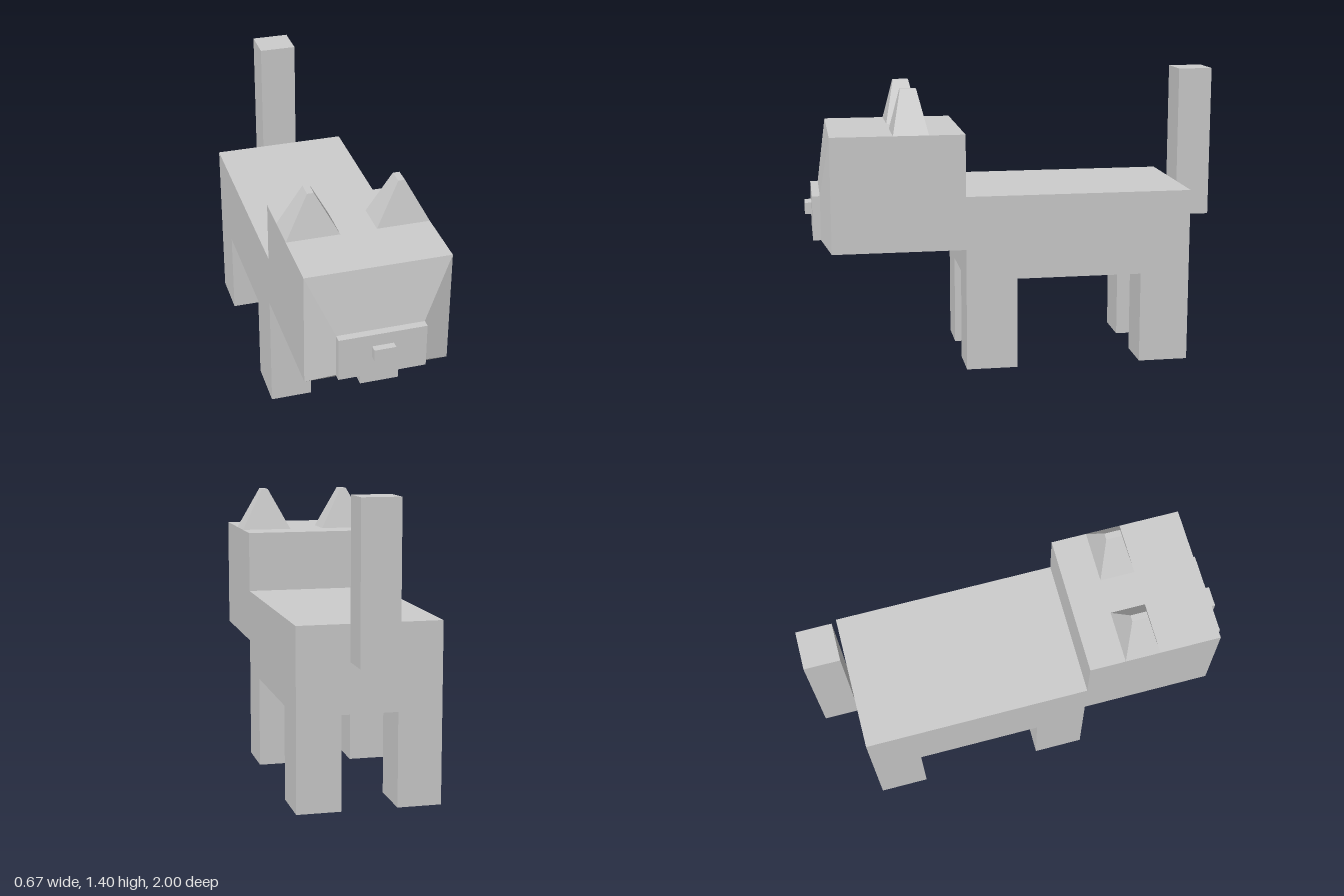
import * as THREE from 'three';

const material = new THREE.MeshStandardMaterial({ color: 0xcccccc, flatShading: true });

// Box given by its [min, max] range along each axis
function block(name, [x0, x1], [y0, y1], [z0, z1]) {
  const geometry = new THREE.BoxGeometry(x1 - x0, y1 - y0, z1 - z0);
  geometry.translate((x0 + x1) / 2, (y0 + y1) / 2, (z0 + z1) / 2);
  const mesh = new THREE.Mesh(geometry, material);
  mesh.name = name;
  return mesh;
}

// Shrinks the far (+) end of a block along one axis to the given ranges on the other axes
function taper(mesh, axis, ranges) {
  const { geometry } = mesh;
  geometry.computeBoundingBox();
  const { min, max } = geometry.boundingBox.clone();
  const pos = geometry.attributes.position;
  const v = new THREE.Vector3();
  for (let i = 0; i < pos.count; i++) {
    v.fromBufferAttribute(pos, i);
    if (v[axis] < (min[axis] + max[axis]) / 2) continue;
    for (const [a, [lo, hi]] of Object.entries(ranges)) {
      v[a] = v[a] < (min[a] + max[a]) / 2 ? lo : hi;
    }
    pos.setXYZ(i, v.x, v.y, v.z);
  }
  geometry.computeVertexNormals();
  geometry.computeBoundingBox();
  return mesh;
}

// Range on the left (+x) side, mirrored for the right
const mirrored = (side, [a, b]) => (side > 0 ? [a, b] : [-b, -a]);

export function createModel() {
  const cat = new THREE.Group();
  cat.name = 'cat';
  const wide = [-0.335, 0.335];

  // Trunk and tail
  cat.add(block('body', wide, [0.44, 0.845], [-0.835, 0.255]));
  cat.add(block('tail', [-0.09, 0.09], [0.675, 1.405], [-1, -0.835]));

  // Head with a face sloping in to the muzzle
  cat.add(block('head', wide, [0.59, 1.14], [0.255, 0.885]));
  cat.add(taper(block('face', wide, [0.59, 1.14], [0.885, 0.93]), 'z',
    { x: [-0.203, 0.203], y: [0.633, 0.845] }));
  cat.add(block('muzzle', [-0.203, 0.203], [0.633, 0.845], [0.93, 0.967]));
  cat.add(block('nose', [-0.05, 0.05], [0.73, 0.785], [0.967, 1]));

  for (const side of [1, -1]) {
    const label = side > 0 ? 'left' : 'right';

    // Legs
    const legX = mirrored(side, [0.13, 0.335]);
    cat.add(block(label + 'FrontLeg', legX, [0, 0.44], [0.01, 0.255]));
    cat.add(block(label + 'BackLeg', legX, [0, 0.44], [-0.835, -0.595]));

    // Ears
    const ear = block(label + 'Ear', mirrored(side, [0.085, 0.335]), [1.14, 1.345], [0.425, 0.592]);
    cat.add(taper(ear, 'y', { x: mirrored(side, [0.194, 0.225]), z: [0.472, 0.548] }));
  }
  return cat;
}
